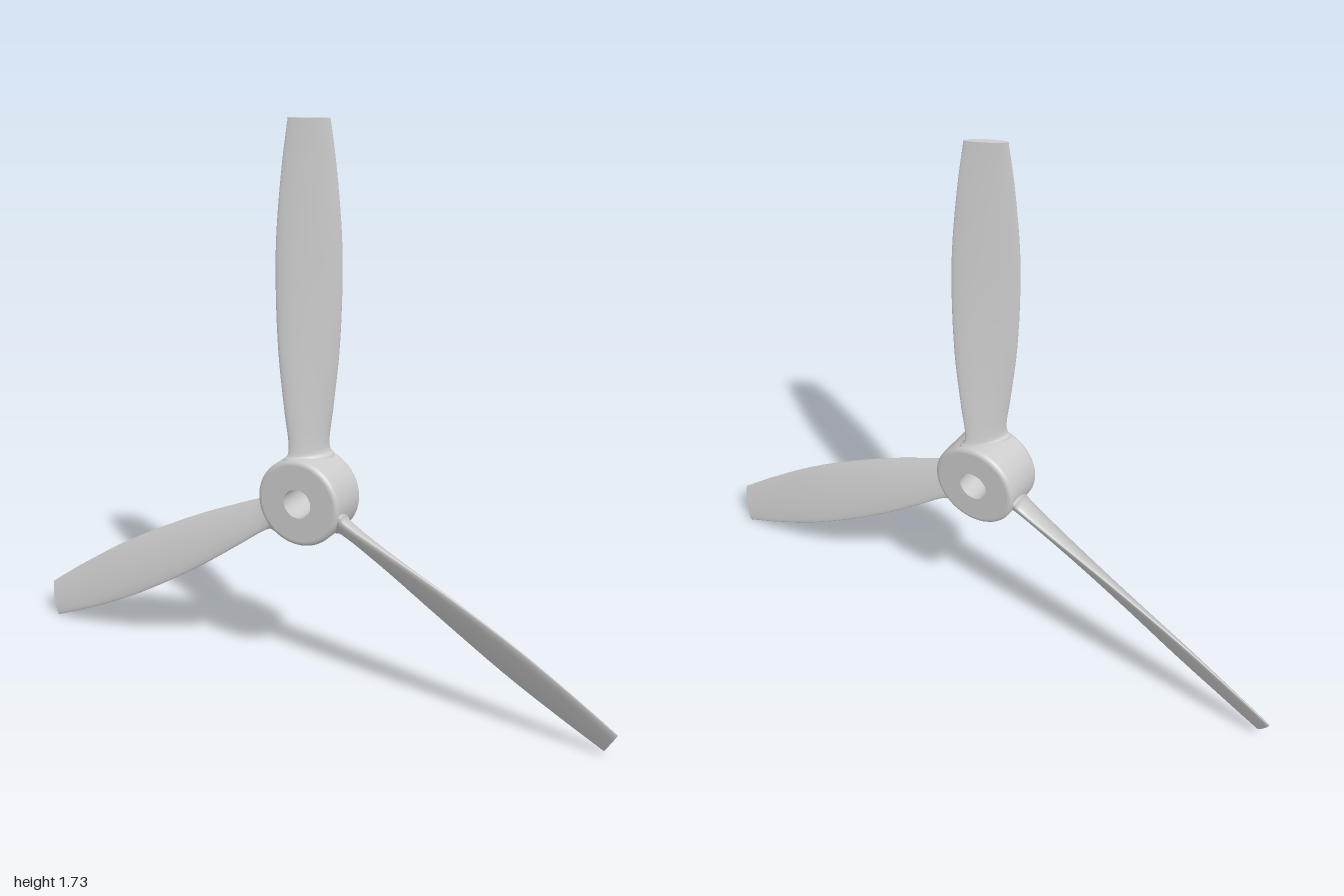
import * as THREE from 'three';

const HUB_Y = 0.608;
const HUB_R = 0.135;
const HALF_DEPTH = 0.075;
const BORE = 0.045;

// Blade stations: [radius, half width across x, half depth along z, half thickness]
const STATIONS = [
  [0.09, 0.062, 0.068, 0.042],
  [0.128, 0.05, 0.063, 0.034],
  [0.14, 0.041, 0.058, 0.028],
  [0.165, 0.038, 0.055, 0.025],
  [0.27, 0.05, 0.057, 0.023],
  [0.45, 0.069, 0.058, 0.021],
  [0.65, 0.079, 0.054, 0.018],
  [0.8, 0.079, 0.048, 0.016],
  [1.0, 0.066, 0.036, 0.012],
  [1.124, 0.053, 0.026, 0.01],
];

// Twisted blade pointing up +y, lofted from lens sections
function bladeGeometry() {
  const size = new THREE.CatmullRomCurve3(STATIONS.map(([r, hx, hz]) => new THREE.Vector3(hx, r, hz)), false, 'centripetal');
  const thick = new THREE.CatmullRomCurve3(STATIONS.map(([r, , , t]) => new THREE.Vector3(t, r, 0)), false, 'centripetal');
  const rings = 54, sides = 40;
  const pos = [], index = [];
  for (let i = 0; i <= rings; i++) {
    const s = size.getPoint(i / rings);
    const t = thick.getPoint(i / rings).x;
    const a = Math.atan2(s.z, s.x);
    for (let j = 0; j < sides; j++) {
      const q = (j / sides) * Math.PI * 2;
      const chord = Math.cos(q);
      const sn = Math.sin(q);
      // front face is fuller than the back face
      const v = t * Math.sign(sn) * Math.abs(sn) ** 1.2 * (sn > 0 ? 1.1 : 0.8);
      pos.push(s.x * chord + Math.sin(a) * v, s.y, -s.z * chord + Math.cos(a) * v);
    }
  }
  for (let i = 0; i < rings; i++) {
    for (let j = 0; j < sides; j++) {
      const k = (j + 1) % sides;
      const a = i * sides + j, b = i * sides + k;
      const c = a + sides, d = b + sides;
      index.push(a, c, b, b, c, d);
    }
  }
  // flat tip cap on its own vertices, so its rim stays sharp
  const first = pos.length / 3;
  pos.push(...pos.slice(rings * sides * 3));
  for (let j = 1; j < sides - 1; j++) index.push(first, first + j + 1, first + j);
  const g = new THREE.BufferGeometry();
  g.setAttribute('position', new THREE.Float32BufferAttribute(pos, 3));
  // make the winding face outward
  for (let i = 0; i < index.length; i += 3) [index[i + 1], index[i + 2]] = orient(pos, index, i);
  g.setIndex(index);
  g.computeVertexNormals();
  return g;
}

// Orders a triangle so that it faces away from the blade axis, or up at the tip
function orient(pos, index, i) {
  const [a, b, c] = [0, 1, 2].map((k) => new THREE.Vector3().fromArray(pos, index[i + k] * 3));
  const n = b.clone().sub(a).cross(c.clone().sub(a));
  const out = a.clone().add(b).add(c).setY(0);
  const flat = a.y === b.y && b.y === c.y;
  const keep = flat ? n.y > 0 : n.dot(out) > 0;
  return keep ? [index[i + 1], index[i + 2]] : [index[i + 2], index[i + 1]];
}

// Ring-shaped hub with rounded rims, axis along z
function hubGeometry() {
  const b = 0.015, h = HALF_DEPTH;
  const shape = [];
  const corner = (sign) => {
    for (let k = 0; k <= 6; k++) {
      const q = ((sign < 0 ? k - 6 : k) / 6) * Math.PI / 2;
      shape.push(new THREE.Vector2(HUB_R - b + b * Math.cos(q), sign * (h - b) + b * Math.sin(q)));
    }
  };
  corner(-1);
  corner(1);
  return new THREE.LatheGeometry(shape, 72).rotateX(Math.PI / 2);
}

export function createModel() {
  const model = new THREE.Group();
  model.name = 'propeller';
  const material = new THREE.MeshStandardMaterial({ color: 0xcccccc });
  const add = (name, geometry, parent) => {
    const mesh = new THREE.Mesh(geometry, material);
    mesh.name = name;
    parent.add(mesh);
    return mesh;
  };

  // Hub: rim, two flat faces and the through bore
  const hub = new THREE.Group();
  hub.name = 'hub';
  hub.position.y = HUB_Y;
  model.add(hub);
  add('hubRim', hubGeometry(), hub);
  const face = new THREE.RingGeometry(BORE, HUB_R - 0.015, 72);
  add('hubFrontFace', face, hub).position.z = HALF_DEPTH;
  const back = add('hubBackFace', face, hub);
  back.position.z = -HALF_DEPTH;
  back.rotation.y = Math.PI;
  const bore = new THREE.CylinderGeometry(BORE, BORE, HALF_DEPTH * 2, 72, 1, true).rotateX(Math.PI / 2);
  const boreMesh = add('hubBore', bore, hub);
  boreMesh.material = material.clone();
  boreMesh.material.side = THREE.DoubleSide;

  // Three equal blades
  const blade = bladeGeometry();
  for (let i = 0; i < 3; i++) {
    const mesh = add('blade' + (i + 1), blade, model);
    mesh.position.y = HUB_Y;
    mesh.rotation.z = (i * Math.PI * 2) / 3;
  }
  return model;
}
